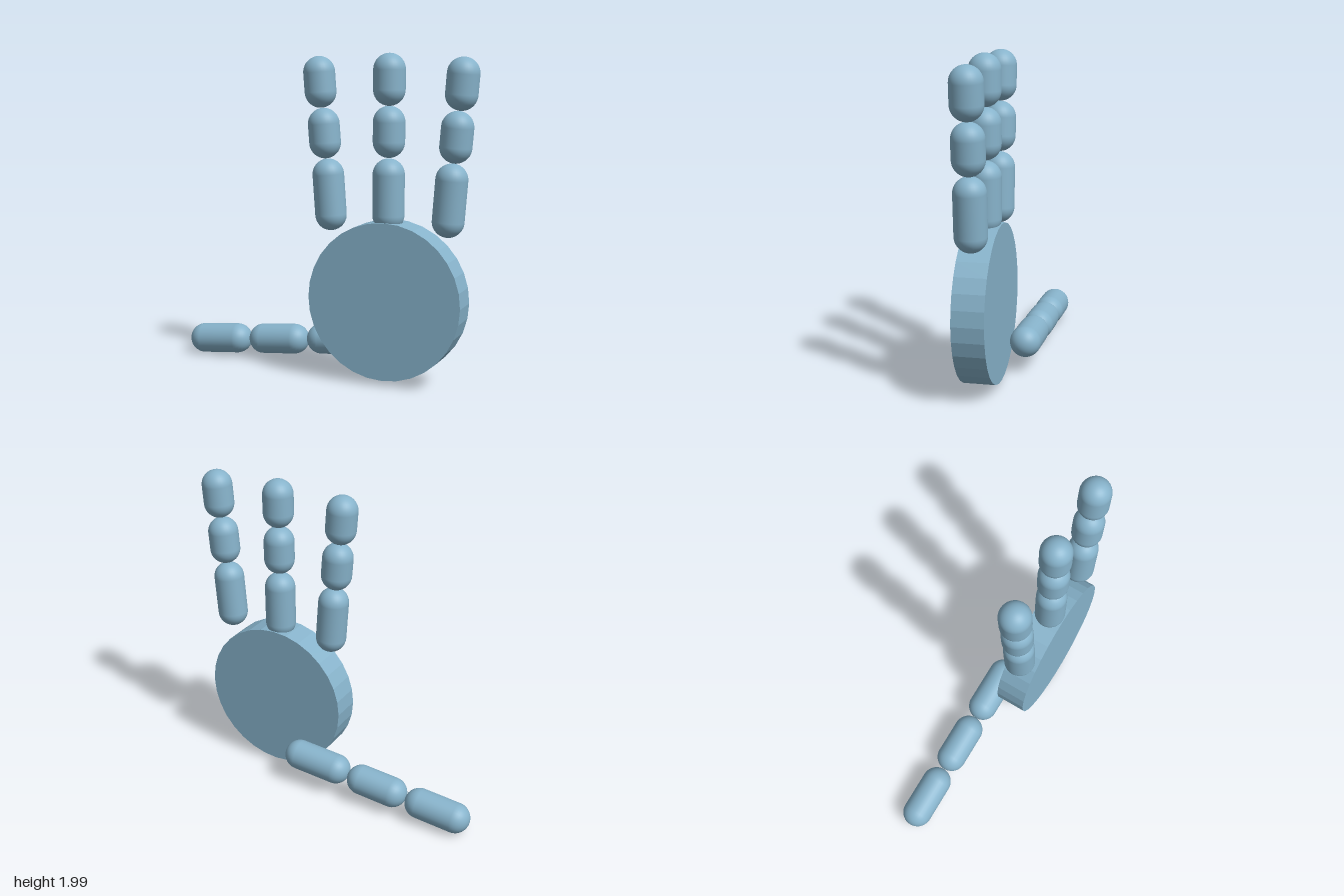
import * as THREE from 'three';

const R = 0.096; // shared radius of every finger segment
const material = new THREE.MeshStandardMaterial({ color: 0x87b3cb });
const palmMaterial = new THREE.MeshStandardMaterial({ color: 0x87b3cb, flatShading: true });

// Capsule whose round ends are centred on points a and b ([x, y])
function segment(name, a, b, z) {
  const from = new THREE.Vector3(a[0], a[1], z);
  const to = new THREE.Vector3(b[0], b[1], z);
  const dir = to.clone().sub(from);
  const mesh = new THREE.Mesh(new THREE.CapsuleGeometry(R, dir.length(), 10, 32), material);
  mesh.name = name;
  mesh.position.copy(from).add(to).multiplyScalar(0.5);
  mesh.quaternion.setFromUnitVectors(new THREE.Vector3(0, 1, 0), dir.normalize());
  return mesh;
}

// Three segments in a row, from base to tip
function digit(name, bones, z) {
  const group = new THREE.Group();
  group.name = name;
  const labels = ['baseSegment', 'middleSegment', 'tipSegment'];
  bones.forEach(([a, b], i) => group.add(segment(labels[i], a, b, z)));
  return group;
}

export function createModel() {
  const hand = new THREE.Group();
  hand.name = 'hand';
  const cx = 0.455;

  // Round palm, a faceted disc facing front
  const palm = new THREE.Mesh(new THREE.CylinderGeometry(0.48, 0.48, 0.192, 32), palmMaterial);
  palm.name = 'palm';
  palm.rotation.x = Math.PI / 2;
  palm.position.set(cx, 0.515, R);
  hand.add(palm);

  // Outer fingers lean away from the middle one, mirrored about the palm centre
  const outer = [
    [[0.371, 1.014], [0.389, 1.259]],
    [[0.41, 1.451], [0.419, 1.564]],
    [[0.44, 1.756], [0.449, 1.874]],
  ];
  for (const [name, side] of [['rightFinger', -1], ['leftFinger', 1]]) {
    const bones = outer.map((bone) => bone.map(([x, y]) => [cx + side * x, y]));
    hand.add(digit(name, bones, R));
  }

  // Upright middle finger
  hand.add(digit('middleFinger', [
    [[cx, 1.03], [cx, 1.274]],
    [[cx, 1.469], [cx, 1.585]],
    [[cx, 1.776], [cx, 1.894]],
  ], R));

  // Thumb, lying behind the palm
  hand.add(digit('thumb', [
    [[0.209, 0.198], [-0.059, 0.177]],
    [[-0.251, 0.157], [-0.469, 0.138]],
    [[-0.663, 0.121], [-0.904, 0.1]],
  ], -R));

  return hand;
}
